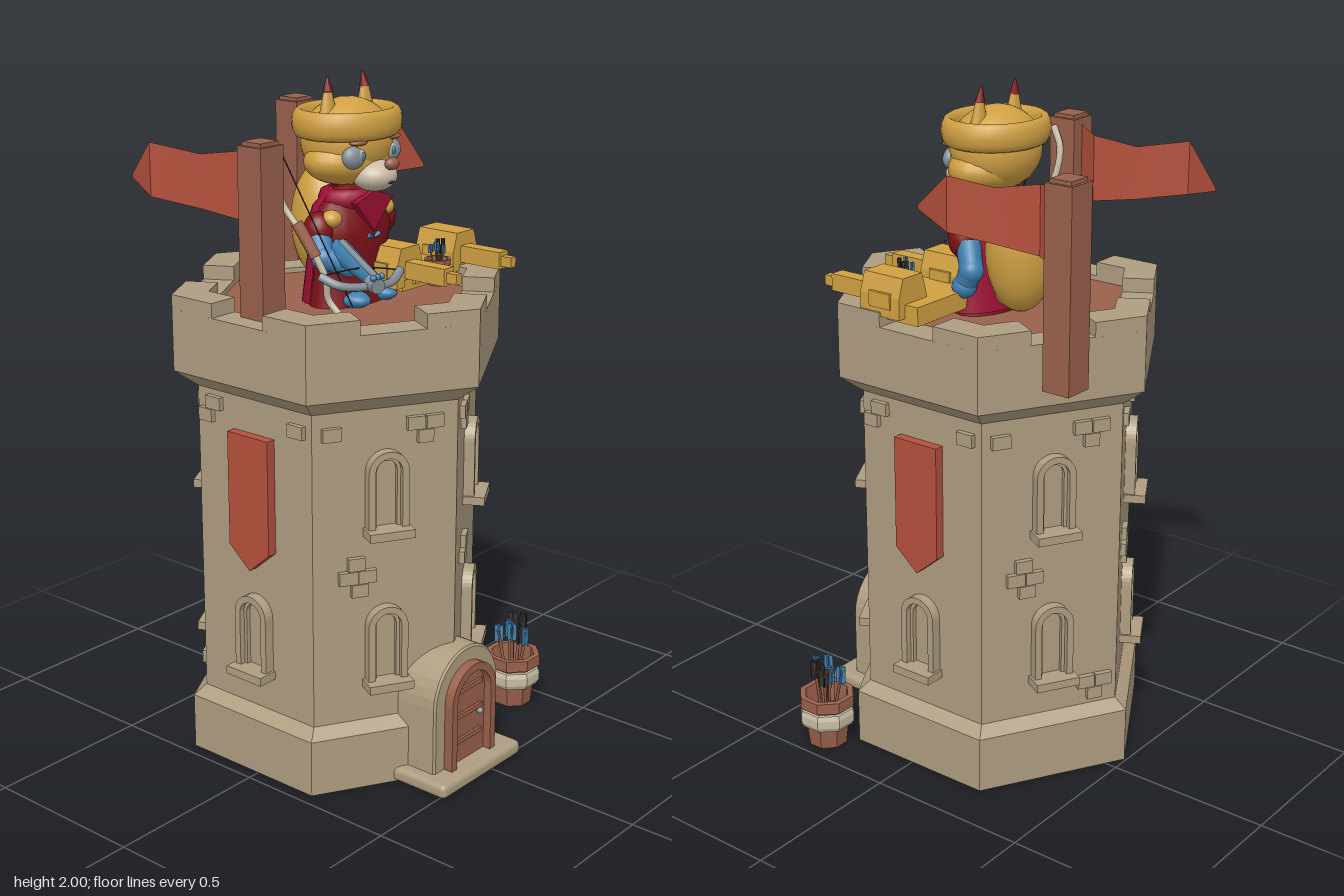
import * as THREE from 'three';
import { toCreasedNormals } from 'three/addons/utils/BufferGeometryUtils.js';
import { RoundedBoxGeometry } from 'three/addons/geometries/RoundedBoxGeometry.js';

const mat = (name, color, side = THREE.FrontSide) => {
  const m = new THREE.MeshStandardMaterial({ color, side });
  m.name = name;
  return m;
};
const V = (x, y, z) => new THREE.Vector3(x, y, z);

export function createModel() {
  const stone = mat('stone', 0xae9d80), wood = mat('wood', 0x99604b);
  const cloth = mat('bannerRed', 0xb4503c, THREE.DoubleSide), gold = mat('gold', 0xd0a043);
  const crimson = mat('crimson', 0x9c1034, THREE.DoubleSide), coat = mat('darkRed', 0x7c1218);
  const blue = mat('blue', 0x3f80b0), metal = mat('metalGrey', 0x87929c);
  const cream = mat('cream', 0xc9bda6), dark = mat('dark', 0x33302e);
  const model = new THREE.Group();

  // Helpers
  const add = (parent, name, geo, material, x = 0, y = 0, z = 0) => {
    const m = new THREE.Mesh(geo, material);
    m.name = name;
    m.position.set(x, y, z);
    parent.add(m);
    return m;
  };
  const group = (name, parent = model, x = 0, y = 0, z = 0) => {
    const g = new THREE.Group();
    g.name = name;
    g.position.set(x, y, z);
    parent.add(g);
    return g;
  };
  // box given by its extents
  const box = (p, name, m, x0, x1, y0, y1, z0, z1) =>
    add(p, name, new THREE.BoxGeometry(x1 - x0, y1 - y0, z1 - z0), m, (x0 + x1) / 2, (y0 + y1) / 2, (z0 + z1) / 2);
  const ball = (p, name, m, x, y, z, rx, ry, rz) => {
    const s = add(p, name, new THREE.SphereGeometry(1, 24, 16), m, x, y, z);
    s.scale.set(rx, ry, rz);
    return s;
  };
  const lathe = (pts, sides, crease, start = 0, len = Math.PI * 2) =>
    toCreasedNormals(new THREE.LatheGeometry(pts.map(p => new THREE.Vector2(...p)), sides, start, len), crease);
  const extrude = (shape, depth, bevel = 0) => new THREE.ExtrudeGeometry(shape, {
    depth, curveSegments: 8, bevelEnabled: bevel > 0, bevelSize: bevel, bevelThickness: bevel, bevelSegments: 1, bevelOffset: -bevel });
  const rod = (p, name, m, a, b, r0, r1 = r0, sides = 8) => {
    const d = b.clone().sub(a);
    const c = add(p, name, new THREE.CylinderGeometry(r1, r0, d.length(), sides), m);
    c.position.copy(a).addScaledVector(d, 0.5);
    c.quaternion.setFromUnitVectors(V(0, 1, 0), d.normalize());
    return c;
  };
  const tube = (p, name, m, pts, r, sides = 6) =>
    add(p, name, new THREE.TubeGeometry(new THREE.CatmullRomCurve3(pts), 14, r, sides), m);
  const arch = (Type, w, y0, y1) => {
    const s = new Type();
    s.moveTo(-w, y0);
    s.lineTo(w, y0);
    s.lineTo(w, y1 - w);
    s.absarc(0, y1 - w, w, 0, Math.PI, false);
    s.lineTo(-w, y0);
    return s;
  };
  const archRing = (w, y0, y1, t, depth, bevel) => {
    const s = arch(THREE.Shape, w, y0, y1);
    s.holes.push(arch(THREE.Path, w - t, y0 + 0.001, y1 - t));
    return extrude(s, depth, bevel);
  };

  // Hexagonal tower
  const tower = group('tower', model, -0.055, 0, -0.024);
  add(tower, 'towerWall', lathe([[0, 0], [0.47, 0], [0.47, 0.17], [0.43, 0.2], [0.43, 1.14], [0.445, 1.15], [0.5, 1.19],
    [0.5, 1.37], [0.392, 1.37], [0.392, 1.34]], 6, 0.3), stone);
  add(tower, 'roofFloor', lathe([[0.395, 1.355], [0, 1.355]], 6, 0.3), wood);
  const corner = new THREE.Shape([[0, -0.5], [0.134, -0.4225], [0.0875, -0.3415], [0, -0.392], [-0.0875, -0.3415],
    [-0.134, -0.4225]].map(p => new THREE.Vector2(...p)));
  for (let i = 0; i < 6; i++) {
    const g = extrude(corner, 0.045);
    g.rotateX(-Math.PI / 2);
    add(tower, 'battlement', g, stone, 0, 1.367, 0).rotation.y = i * Math.PI / 3;
  }

  // Wall faces with windows, banners and raised bricks
  const AP = 0.372;
  const addWindow = (f, y) => {
    add(f, 'windowFrame', archRing(0.06, y + 0.02, y + 0.25, 0.02, 0.034), stone, 0, 0, AP - 0.002);
    add(f, 'windowInnerFrame', archRing(0.042, y + 0.02, y + 0.232, 0.012, 0.016), stone, 0, 0, AP - 0.002);
    box(f, 'windowSill', stone, -0.067, 0.067, y, y + 0.025, AP - 0.01, AP + 0.064);
  };
  const bannerShape = new THREE.Shape([[-0.076, 1.04], [-0.076, 0.7], [0, 0.635], [0.076, 0.7], [0.076, 1.04]]
    .map(p => new THREE.Vector2(...p)));
  const cluster = (f, u, y, bricks) => bricks.forEach(([dx, dy, w]) =>
    box(f, 'raisedBrick', stone, u + dx - w / 2, u + dx + w / 2, y + dy - 0.019, y + dy + 0.019, AP - 0.01, AP + 0.016));
  const three = [[-0.028, 0.019, 0.052], [0.028, 0.019, 0.052], [0, -0.021, 0.046]];
  const four = [[-0.028, 0, 0.054], [0.028, 0, 0.054], [-0.004, 0.04, 0.05], [0.006, -0.04, 0.05]];
  const stepped = [[0.014, 0.019, 0.056], [-0.016, -0.021, 0.05]];
  const single = [[0, 0, 0.055]];
  for (let i = 0; i < 6; i++) {
    const f = group('wallFace', tower);
    f.rotation.y = (30 + 60 * i) * Math.PI / 180;
    addWindow(f, 0.305);
    if (i % 3 === 1) {
      add(f, 'banner', extrude(bannerShape, 0.03), cloth, 0, 0, AP);
      cluster(f, -0.16, 1.085, stepped);
      cluster(f, 0.165, 1.085, single);
    } else {
      addWindow(f, 0.77);
      const front = i === 0;
      cluster(f, front ? -0.12 : 0.115, 1.07, three);
      cluster(f, front ? 0.165 : -0.16, 1.08, single);
      cluster(f, front ? -0.09 : -0.085, 0.65, front ? stepped : four);
      if (i === 2 || i === 3) cluster(f, 0.14, 0.26, three);
    }
  }

  // Doorway with step
  const door = group('doorway', model, -0.055, 0, 0);
  add(door, 'doorFrame', archRing(0.15, 0.03, 0.4, 0.046, 0.15, 0.006), stone, 0, 0, 0.3);
  add(door, 'doorSurround', archRing(0.104, 0.04, 0.354, 0.024, 0.13), wood, 0, 0, 0.355);
  add(door, 'doorPanel', extrude(arch(THREE.Shape, 0.085, 0.04, 0.335), 0.1), wood, 0, 0, 0.36);
  for (const y of [0.11, 0.19, 0.27]) box(door, 'doorBar', wood, -0.068, 0.06, y, y + 0.014, 0.455, 0.469);
  ball(door, 'doorKnob', metal, 0.05, 0.18, 0.468, 0.01, 0.01, 0.01);
  add(door, 'doorStep', new RoundedBoxGeometry(0.377, 0.046, 0.26, 2, 0.018), stone, 0, 0.023, 0.393);

  // Flagpoles and waving flags
  const pole = (x, z, y0) => {
    box(model, 'flagPole', wood, x - 0.045, x + 0.045, y0, 1.845, z - 0.043, z + 0.043);
    box(model, 'flagPoleCap', wood, x - 0.036, x + 0.036, 1.845, 1.856, z - 0.034, z + 0.034);
  };
  pole(-0.38, -0.027, 1.28);
  pole(0.268, -0.483, 1.28);
  const flag = (path) => {
    const edge = [[1.6, 1.825], [1.615, 1.81], [1.635, 1.79], [1.66, 1.815], [1.695, 1.705]];
    const n = path.length, g = new THREE.PlaneGeometry(1, 1, n - 1, 1), p = g.attributes.position;
    path.forEach(([x, z], i) => {
      p.setXYZ(i, x, edge[i][1], z);
      p.setXYZ(i + n, x, edge[i][0], z);
    });
    add(model, 'flag', toCreasedNormals(g, 0.2), cloth);
  };
  flag([[-0.375, -0.07], [-0.337, -0.14], [-0.365, -0.27], [-0.424, -0.41], [-0.385, -0.525]]);
  flag([[0.26, -0.44], [0.222, -0.36], [0.26, -0.24], [0.315, -0.12], [0.275, 0.015]]);

  // Buckets of arrows
  const quiver = (name, x, y, z, s) => {
    const q = group(name, model, x, y, z);
    q.scale.setScalar(s);
    q.rotation.y = Math.PI / 8;
    add(q, 'bucket', lathe([[0, 0], [0.06, 0], [0.074, 0.125], [0.086, 0.13], [0.086, 0.165], [0.068, 0.165], [0.062, 0.1], [0, 0.1]], 8, 0.3), wood);
    add(q, 'bucketBand', lathe([[0.062, 0.062], [0.078, 0.066], [0.086, 0.08], [0.087, 0.105], [0.082, 0.12], [0.07, 0.122]], 8, 0.3), cream);
    for (let i = 0; i < 7; i++) {
      const a = i * 2.4, r = 0.016 + 0.006 * i, h = 0.24 + 0.012 * (i % 4);
      const lo = V(Math.sin(a) * r * 0.6, 0.1, Math.cos(a) * r * 0.6), hi = V(Math.sin(a) * r * 1.2, h, Math.cos(a) * r * 1.2);
      rod(q, 'arrowShaft', wood, lo, hi, 0.005, 0.005, 5);
      const mid = lo.clone().lerp(hi, 0.72);
      for (const k of [0, 1]) {
        const v = box(q, 'arrowFletching', i % 3 ? blue : dark, -0.014, 0.014, -0.028, 0.028, -0.002, 0.002);
        v.position.copy(mid).lerp(hi, 0.6);
        v.rotation.y = a + k * Math.PI / 2;
      }
    }
  };
  quiver('arrowBucket', 0.408, 0, 0.29, 1);
  quiver('smallArrowBucket', 0.18, 1.38, 0.145, 0.47);

  // Golden twin launcher on the wall
  const launcher = group('launcher');
  box(launcher, 'launcherPlate', gold, 0.03, 0.345, 1.385, 1.44, -0.04, 0.135);
  for (const x of [0.052, 0.312]) {
    const s = new THREE.Shape([[-0.06, 1.4], [-0.025, 1.4], [-0.025, 1.42], [0.025, 1.42], [0.025, 1.4], [0.06, 1.4], [0.058, 1.46],
      [0.04, 1.515], [-0.04, 1.515], [-0.058, 1.46]].map(p => new THREE.Vector2(...p)));
    add(launcher, 'launcherBlock', extrude(s, 0.14), gold, x, 0, 0.005);
    box(launcher, 'launcherCollar', gold, x - 0.064, x + 0.064, 1.425, 1.47, 0.035, 0.11);
    box(launcher, 'launcherBarrel', gold, x - 0.022, x + 0.022, 1.425, 1.475, 0.14, 0.285);
    box(launcher, 'launcherTip', gold, x - 0.012, x + 0.012, 1.433, 1.463, 0.285, 0.32);
  }

  // Squirrel guard: body, cape and hood
  const guard = group('guard', model, -0.03, 0, -0.01);
  const robe = add(guard, 'coat', lathe([[0.15, 1.355], [0.135, 1.43], [0.13, 1.48], [0.15, 1.56], [0.13, 1.62], [0.07, 1.68], [0, 1.69]], 20, 1), coat);
  robe.scale.z = 0.58;
  const cape = add(guard, 'cape', lathe([[0.175, 1.37], [0.155, 1.5], [0.158, 1.58], [0.135, 1.64], [0.07, 1.69]], 14, 1, Math.PI / 2, Math.PI), crimson);
  cape.scale.z = 0.58;
  const hood = add(guard, 'hood', new THREE.TorusGeometry(0.07, 0.03, 8, 20).rotateX(Math.PI / 2), crimson, 0, 1.655, 0);
  hood.scale.z = 0.85;
  const bib = new THREE.Shape([[-0.08, 1.655], [0, 1.565], [0.08, 1.655], [0, 1.68]].map(p => new THREE.Vector2(...p)));
  add(guard, 'hoodFront', extrude(bib, 0.02), crimson, 0, 0, 0.072);
  for (const s of [-1, 1]) {
    ball(guard, 'sleeve', coat, s * 0.135, 1.575, 0, 0.045, 0.055, 0.045);
    ball(guard, 'shoulderTrim', gold, s * 0.115, 1.61, 0.03, 0.03, 0.025, 0.03);
    rod(guard, 'chestTie', blue, V(s * 0.004, 1.548, 0.088), V(s * 0.022, 1.556, 0.088), 0.003, 0.008);
    ball(guard, 'foot', blue, s * 0.06, 1.375, 0.06, 0.04, 0.025, 0.06);
  }
  const limb = (a, b, c) => {
    rod(guard, 'upperArm', blue, a, b, 0.036, 0.033, 12);
    rod(guard, 'forearm', blue, b, c, 0.035, 0.03, 12);
    ball(guard, 'elbow', blue, b.x, b.y, b.z, 0.036, 0.036, 0.036);
    ball(guard, 'hand', blue, c.x, c.y, c.z, 0.036, 0.034, 0.036);
  };
  limb(V(0.14, 1.57, -0.02), V(0.165, 1.5, -0.05), V(0.165, 1.45, -0.025));
  limb(V(-0.14, 1.57, 0), V(-0.165, 1.51, 0.045), V(-0.12, 1.49, 0.1));

  // Bushy tail
  ball(guard, 'tail', gold, 0.06, 1.555, -0.145, 0.105, 0.18, 0.1);
  ball(guard, 'tailBase', gold, 0.035, 1.43, -0.08, 0.06, 0.06, 0.06);

  // Head
  const head = group('head', guard, 0, 0, -0.01);
  ball(head, 'skull', gold, 0, 1.815, 0, 0.143, 0.12, 0.125);
  ball(head, 'cheeks', gold, 0, 1.765, 0.01, 0.16, 0.075, 0.105);
  const brim = add(head, 'hatBrim', new THREE.TorusGeometry(0.148, 0.021, 12, 32).rotateX(Math.PI / 2), gold, 0, 1.869, 0);
  brim.scale.set(1, 1.9, 0.87);
  ball(head, 'muzzle', cream, 0, 1.725, 0.1, 0.066, 0.045, 0.065);
  ball(head, 'nose', wood, 0, 1.765, 0.163, 0.025, 0.018, 0.018);
  ball(head, 'mouth', dark, 0, 1.712, 0.162, 0.012, 0.004, 0.005);
  for (const s of [-1, 1]) {
    ball(head, 'eyePatch', metal, s * 0.078, 1.785, 0.09, 0.04, 0.034, 0.026);
    ball(head, 'eye', cream, s * 0.068, 1.788, 0.104, 0.02, 0.02, 0.014);
    ball(head, 'pupil', blue, s * 0.066, 1.788, 0.115, 0.009, 0.012, 0.006);
    ball(head, 'eyebrow', wood, s * 0.072, 1.826, 0.103, 0.032, 0.009, 0.02);
    rod(head, 'ear', gold, V(s * 0.08, 1.87, 0), V(s * 0.079, 1.955, -0.003), 0.036, 0.015, 12).scale.z = 0.7;
    rod(head, 'earTip', coat, V(s * 0.079, 1.955, -0.003), V(s * 0.075, 2, -0.008), 0.015, 0.001, 10);
  }

  // Crossbow
  const bow = group('crossbow');
  rod(bow, 'crossbowStock', blue, V(-0.15, 1.53, 0.05), V(-0.232, 1.483, 0.255), 0.034, 0.02, 6);
  rod(bow, 'crossbowRail', metal, V(-0.16, 1.555, 0.07), V(-0.238, 1.495, 0.265), 0.01, 0.01, 6);
  rod(bow, 'crossbowHead', metal, V(-0.225, 1.48, 0.235), V(-0.238, 1.475, 0.268), 0.028, 0.022, 8);
  for (const x of [-0.253, -0.235, -0.217]) ball(bow, 'crossbowStud', blue, x, 1.5, 0.262, 0.009, 0.009, 0.009);
  tube(bow, 'crossbowLimb', metal, [V(-0.345, 1.505, 0.15), V(-0.315, 1.48, 0.2), V(-0.235, 1.47, 0.235), V(-0.14, 1.465, 0.235), V(-0.083, 1.485, 0.218)], 0.013);
  tube(bow, 'crossbowString', dark, [V(-0.345, 1.505, 0.15), V(-0.21, 1.51, 0.19), V(-0.083, 1.485, 0.218)], 0.002, 4);

  // Longbow leaning on the wall
  const longbow = group('longbow');
  tube(longbow, 'longbowUpperLimb', cream, [V(-0.33, 1.82, 0), V(-0.315, 1.76, -0.035), V(-0.29, 1.67, -0.03), V(-0.275, 1.6, 0.02)], 0.01);
  tube(longbow, 'longbowLowerLimb', cream, [V(-0.265, 1.55, 0.055), V(-0.25, 1.47, 0.09), V(-0.24, 1.41, 0.09), V(-0.23, 1.37, 0.12)], 0.01);
  rod(longbow, 'longbowGrip', wood, V(-0.278, 1.62, 0.01), V(-0.262, 1.53, 0.065), 0.017, 0.017, 8);
  rod(longbow, 'longbowString', dark, V(-0.33, 1.81, 0.01), V(-0.23, 1.4, 0.17), 0.002, 0.002, 4);
  return model;
}
